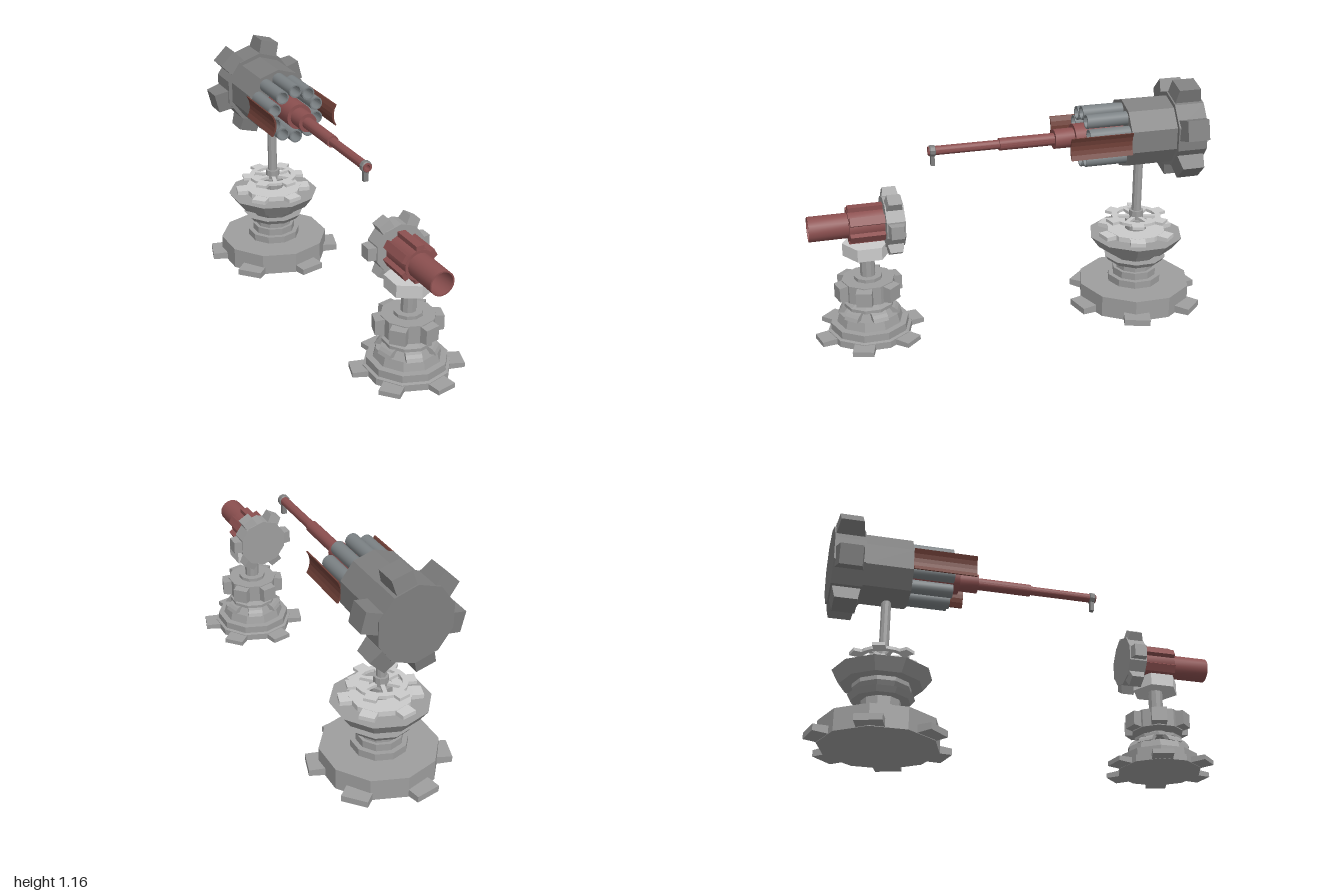
import * as THREE from 'three';
import { toCreasedNormals } from 'three/addons/utils/BufferGeometryUtils.js';

const mat = (color, flatShading = true) => new THREE.MeshStandardMaterial({ color, flatShading });
const grey = mat(0x9e9e9e), light = mat(0xbcbcbc), dark = mat(0x7f7f7f);
const red = mat(0x8c5050, false), steel = mat(0x7c8285, false), brown = mat(0x704038);
brown.side = THREE.DoubleSide;

function add(parent, name, geometry, material = grey, x = 0, y = 0, z = 0) {
  const mesh = new THREE.Mesh(geometry, material);
  mesh.name = name;
  mesh.position.set(x, y, z);
  parent.add(mesh);
  return mesh;
}

function group(parent, name, x = 0, y = 0, z = 0) {
  const g = new THREE.Group();
  g.name = name;
  g.position.set(x, y, z);
  parent.add(g);
  return g;
}

// Faceted solid of revolution; profile is [radius, height] from bottom to top
const turned = (profile, sides = 10) =>
  new THREE.LatheGeometry(profile.map(([r, y]) => new THREE.Vector2(r, y)), sides);

// Round solid of revolution with sharp steps
const round = (profile) => toCreasedNormals(turned(profile, 20), 0.5);

// Closed prism from y0 to y1
const drum = (r, y0, y1, sides = 10) => turned([[0, y0], [r, y0], [r, y1], [0, y1]], sides);

// Hollow round tube, open at the y1 end
const pipe = (r, inner, y0, y1) =>
  round([[0, y0], [r, y0], [r, y1], [inner, y1], [inner, y0 + 0.01], [0, y0 + 0.01]]);

// Six teeth around the y axis, each tapered towards its tip
function teeth(parent, name, material, rIn, rOut, width, y0, y1, angle, taper) {
  const s = new THREE.Shape();
  s.moveTo(rIn, y0);
  s.lineTo(rOut, y0 + taper);
  s.lineTo(rOut, y1 - taper);
  s.lineTo(rIn, y1);
  const geo = new THREE.ExtrudeGeometry(s, { depth: width, bevelEnabled: false });
  geo.translate(0, 0, -width / 2);
  for (let i = 0; i < 6; i++) {
    add(parent, name, geo, material).rotation.y = THREE.MathUtils.degToRad(angle + i * 60);
  }
}

function largeTurret(root) {
  const t = group(root, 'largeTurret', 0, 0, -0.655);

  // Toothed foot and stepped pedestal
  add(t, 'foot', drum(0.285, 0, 0.108));
  teeth(t, 'footTooth', grey, 0.22, 0.34, 0.128, 0, 0.043, 43, 0.006);
  add(t, 'pedestal', turned([[0, 0.1], [0.137, 0.1], [0.137, 0.144], [0.112, 0.144], [0.112, 0.18],
    [0.095, 0.18], [0.095, 0.225], [0.14, 0.225], [0.16, 0.25], [0.115, 0.25], [0.14, 0.285],
    [0.14, 0.305], [0.195, 0.305], [0.238, 0.364], [0, 0.364]]));

  // Gear lying on the bowl
  add(t, 'bowlGear', drum(0.15, 0.364, 0.39), light);
  teeth(t, 'bowlGearTooth', light, 0.11, 0.195, 0.075, 0.364, 0.39, 43, 0.003);

  // Spoked wheel around the post
  add(t, 'wheelHub', drum(0.055, 0.39, 0.445));
  const rim = new THREE.Shape().absarc(0, 0, 0.125, 0, Math.PI * 2);
  rim.holes.push(new THREE.Path().absarc(0, 0, 0.098, 0, Math.PI * 2, true));
  const rimGeo = new THREE.ExtrudeGeometry(rim, { depth: 0.015, bevelEnabled: false, curveSegments: 10 });
  add(t, 'wheelRim', rimGeo.rotateX(-Math.PI / 2), light, 0, 0.445, 0);
  teeth(t, 'wheelTooth', light, 0.11, 0.16, 0.06, 0.445, 0.46, 43, 0);
  teeth(t, 'wheelSpoke', light, 0, 0.11, 0.02, 0.445, 0.46, 13, 0);
  add(t, 'wheelCap', drum(0.036, 0.445, 0.49));
  add(t, 'post', drum(0.024, 0.39, 0.8));

  // Gun: built along y, turned so y points forward
  const gun = group(root, 'largeGun', -0.002, 0.91, 0);
  gun.rotation.x = Math.PI / 2;
  add(gun, 'breechGear', drum(0.19, -0.937, -0.787), dark);
  teeth(gun, 'breechTooth', dark, 0.14, 0.249, 0.1, -0.937, -0.787, 14, 0.02);
  add(gun, 'gunDrum', drum(0.17, -0.79, -0.553), dark);
  const tube = pipe(0.034, 0.027, -0.56, -0.348);
  for (let i = 0; i < 10; i++) {
    const a = i * Math.PI / 5 + Math.PI / 2;
    add(gun, 'launchTube', tube, steel, 0.12 * Math.cos(a), 0, 0.12 * Math.sin(a));
  }
  add(gun, 'barrel', round([[0, -0.56], [0.066, -0.56], [0.066, -0.305], [0.048, -0.305],
    [0.048, -0.208], [0.03, -0.208], [0.03, 0.065], [0.022, 0.065], [0.022, 0.41],
    [0.013, 0.41], [0.013, 0.34], [0, 0.34]]), red);
  add(gun, 'muzzleBand', turned([[0.02, 0.375], [0.028, 0.38], [0.028, 0.402], [0.02, 0.407]]), dark);
  add(gun, 'muzzleFoot', new THREE.BoxGeometry(0.024, 0.018, 0.055), dark, 0, 0.39, 0.045);

  // Side plates, curving inwards
  for (const side of [-1, 1]) {
    const s = new THREE.Shape();
    s.moveTo(side * 0.178, 0.055);
    s.quadraticCurveTo(side * 0.144, 0, side * 0.178, -0.055);
    s.lineTo(side * 0.17, -0.055);
    s.quadraticCurveTo(side * 0.132, 0, side * 0.17, 0.055);
    const geo = new THREE.ExtrudeGeometry(s, { depth: 0.31, bevelEnabled: false, curveSegments: 5 });
    add(gun, 'sidePlate', geo.rotateX(-Math.PI / 2), brown, 0, -0.555, 0);
  }
}

function smallTurret(root) {
  const t = group(root, 'smallTurret', 0.0425, 0, 0.73);

  // Toothed foot and stepped dome
  add(t, 'foot', turned([[0, 0.025], [0.205, 0.025], [0.205, 0.058], [0.19, 0.062], [0.19, 0.098],
    [0.16, 0.1], [0.148, 0.144], [0.115, 0.144], [0, 0.144]]));
  teeth(t, 'footTooth', grey, 0.17, 0.263, 0.1, 0.025, 0.056, 43, 0.004);

  // Arched struts carrying the collar
  const s = new THREE.Shape();
  s.moveTo(0.148, 0.142);
  s.quadraticCurveTo(0.138, 0.168, 0.11, 0.18);
  s.lineTo(0.085, 0.18);
  s.quadraticCurveTo(0.11, 0.165, 0.118, 0.142);
  const strut = new THREE.ExtrudeGeometry(s, { depth: 0.075, bevelEnabled: false, curveSegments: 3 });
  strut.translate(0, 0, -0.0375);
  for (let i = 0; i < 6; i++) add(t, 'strut', strut).rotation.y = (i * 60 + 13) * Math.PI / 180;
  add(t, 'innerColumn', drum(0.05, 0.14, 0.24));
  add(t, 'collar', turned([[0, 0.177], [0.12, 0.177], [0.12, 0.193], [0.085, 0.207], [0, 0.207]]));

  // Middle gear, post and hexagonal mount
  add(t, 'middleGear', drum(0.128, 0.225, 0.315));
  teeth(t, 'middleTooth', grey, 0.09, 0.16, 0.075, 0.225, 0.315, 43, 0.01);
  add(t, 'postCollar', drum(0.068, 0.31, 0.332));
  add(t, 'post', drum(0.036, 0.33, 0.45));
  add(t, 'mount', drum(0.115, 0.445, 0.507, 6), light);

  // Gun: built along y, turned so y points forward
  const gun = group(root, 'smallGun', 0.0425, 0.597, 0);
  gun.rotation.x = Math.PI / 2;
  add(gun, 'breechGear', drum(0.125, 0.558, 0.647));
  teeth(gun, 'breechTooth', grey, 0.09, 0.158, 0.062, 0.558, 0.647, 0, 0.014);
  add(gun, 'sleeve', round([[0, 0.64], [0.074, 0.64], [0.074, 0.815], [0, 0.815]]), red);
  teeth(gun, 'sleeveRib', red, 0.05, 0.093, 0.04, 0.64, 0.815, 30, 0.003);
  add(gun, 'barrel', pipe(0.06, 0.053, 0.8, 1), red);
}

export function createModel() {
  const root = new THREE.Group();
  root.name = 'turretPair';
  largeTurret(root);
  smallTurret(root);
  return root;
}
